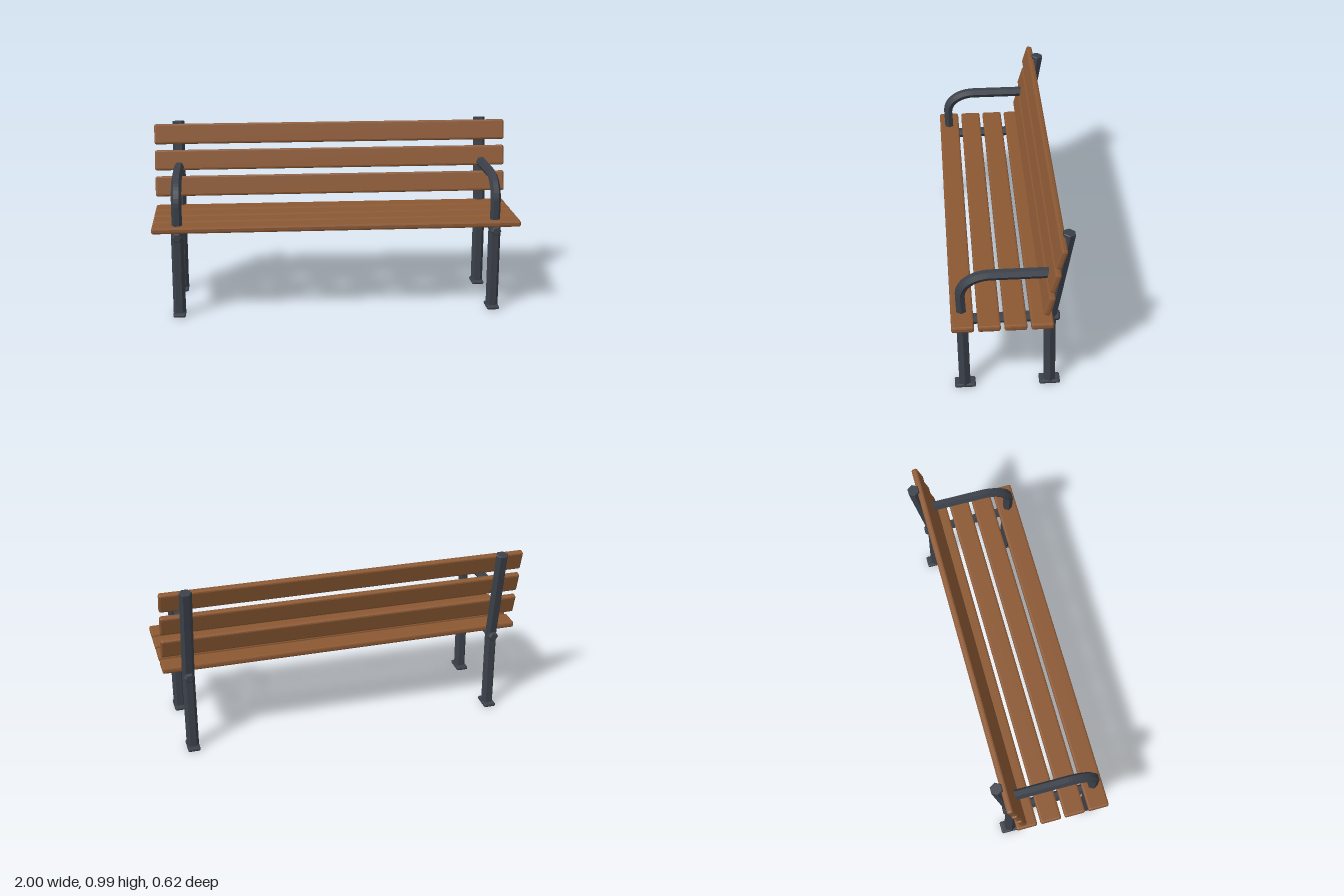
import * as THREE from 'three';
import { RoundedBoxGeometry } from 'three/addons/geometries/RoundedBoxGeometry.js';

const steel = new THREE.MeshStandardMaterial({ color: 0x3b4049 });
steel.name = 'dark steel';
const wood = new THREE.MeshStandardMaterial({ color: 0x8b5833 });
wood.name = 'brown wood';

// Facet a geometry
function flat(geometry) {
  const g = geometry.index ? geometry.toNonIndexed() : geometry;
  g.computeVertexNormals();
  return g;
}

function add(parent, name, geometry, material, x, y, z) {
  const mesh = new THREE.Mesh(flat(geometry), material);
  mesh.name = name;
  mesh.position.set(x, y, z);
  parent.add(mesh);
  return mesh;
}

// Capped hexagonal bar between two [y, z] points, corners facing sideways
function bar(parent, name, a, b, r, chamfer = 0.003) {
  const from = new THREE.Vector3(0, ...a);
  const dir = new THREE.Vector3(0, ...b).sub(from);
  const len = dir.length();
  const profile = [
    [0, 0], [r - chamfer, 0], [r, chamfer],
    [r, len - chamfer], [r - chamfer, len], [0, len],
  ].map(([x, y]) => new THREE.Vector2(x, y));
  const geometry = new THREE.LatheGeometry(profile, 6, Math.PI / 2);
  const mesh = add(parent, name, geometry, steel, 0, ...a);
  mesh.quaternion.setFromUnitVectors(new THREE.Vector3(0, 1, 0), dir.normalize());
}

function sideFrame(name, x) {
  const frame = new THREE.Group();
  frame.name = name;
  frame.position.x = x;

  // Legs, back post and seat rail
  bar(frame, 'frontLeg', [0.01, 0.245], [0.485, 0.254], 0.034);
  bar(frame, 'rearLeg', [0.01, -0.202], [0.47, -0.194], 0.034);
  bar(frame, 'backPost', [0.44, -0.193], [0.981, -0.279], 0.034);
  bar(frame, 'seatRail', [0.454, 0.31], [0.454, -0.245], 0.028, 0.008);

  // Feet
  for (const [part, z] of [['frontFoot', 0.243], ['rearFoot', -0.202]]) {
    add(frame, part, new RoundedBoxGeometry(0.068, 0.02, 0.11, 1, 0.008), steel, 0, 0.01, z);
  }

  // Armrest: upright, bend and level run into the back post
  const p = (y, z) => new THREE.Vector3(0, y, z);
  const path = new THREE.CurvePath();
  path.add(new THREE.LineCurve3(p(0.46, 0.254), p(0.61, 0.261)));
  path.add(new THREE.CubicBezierCurve3(p(0.61, 0.261), p(0.685, 0.264), p(0.736, 0.19), p(0.736, 0.105)));
  path.add(new THREE.LineCurve3(p(0.736, 0.105), p(0.736, -0.225)));
  add(frame, 'armrest', new THREE.TubeGeometry(path, 36, 0.028, 6), steel, 0, 0, 0);
  return frame;
}

export function createModel() {
  const bench = new THREE.Group();
  bench.name = 'parkBench';

  bench.add(sideFrame('leftFrame', 0.865), sideFrame('rightFrame', -0.865));

  // Seat slats
  for (let i = 0; i < 4; i++) {
    add(bench, 'seatSlat', new RoundedBoxGeometry(2, 0.034, 0.114, 1, 0.01), wood,
      0, 0.495, 0.254 - i * 0.1333);
  }

  // Back slats, leaning back
  for (let i = 0; i < 3; i++) {
    const slat = add(bench, 'backSlat', new RoundedBoxGeometry(2, 0.114, 0.034, 1, 0.01), wood,
      0, 0.624 + i * 0.1455, -0.177 - i * 0.026);
    slat.rotation.x = -0.27;
  }
  return bench;
}
